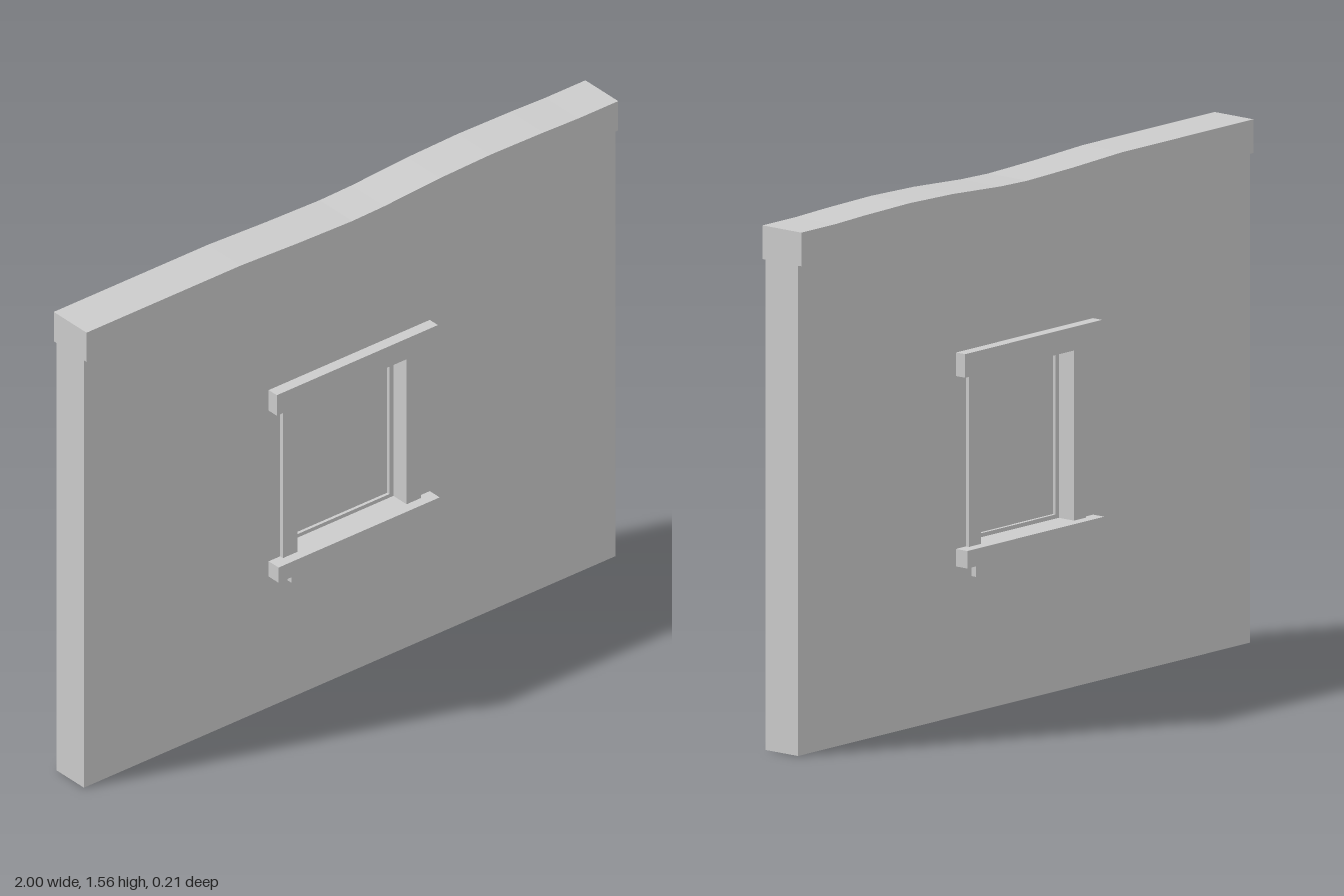
import * as THREE from 'three';

const material = new THREE.MeshStandardMaterial({ color: 0xcccccc, flatShading: true });

// Gently sagging line of the wall's top edge
const TOP = [[-1, 1.555], [-0.42, 1.555], [-0.2, 1.546], [0, 1.541], [0.12, 1.544],
  [0.33, 1.557], [0.52, 1.562], [0.72, 1.559], [0.85, 1.555], [1, 1.555]];
const edge = (drop) => TOP.map(([x, y]) => new THREE.Vector2(x, y - drop));

// Window opening
const L = -0.208, R = 0.203, B = 0.497, T = 1.01;

function add(parent, name, geometry) {
  const mesh = new THREE.Mesh(geometry, material);
  mesh.name = name;
  parent.add(mesh);
  return mesh;
}

// Box given by its limits on each axis
function block(parent, name, x0, x1, y0, y1, z0, z1) {
  const mesh = add(parent, name, new THREE.BoxGeometry(x1 - x0, y1 - y0, z1 - z0));
  mesh.position.set((x0 + x1) / 2, (y0 + y1) / 2, (z0 + z1) / 2);
  return mesh;
}

function slab(parent, name, shape, z0, z1) {
  const geometry = new THREE.ExtrudeGeometry(shape, { depth: z1 - z0, bevelEnabled: false });
  geometry.translate(0, 0, z0);
  return add(parent, name, geometry);
}

function rectHole(x0, x1, y0, y1) {
  return new THREE.Path([[x0, y0], [x0, y1], [x1, y1], [x1, y0]].map((p) => new THREE.Vector2(...p)));
}

export function createModel() {
  const group = new THREE.Group();
  group.name = 'windowWall';

  // Wall with the window opening cut through it
  const wall = new THREE.Shape([
    new THREE.Vector2(-1, 0), new THREE.Vector2(1, 0), ...edge(0.006).reverse()]);
  wall.holes.push(rectHole(L, R, B, T));
  slab(group, 'wall', wall, -0.063, 0.061);

  // Coping that follows the top edge and overhangs both faces
  slab(group, 'coping', new THREE.Shape([...edge(0.1), ...edge(0).reverse()]), -0.076, 0.073);

  // Thin sash and pane set in the middle of the opening
  const sash = new THREE.Shape([
    new THREE.Vector2(L, B), new THREE.Vector2(R, B), new THREE.Vector2(R, T), new THREE.Vector2(L, T)]);
  sash.holes.push(rectHole(L + 0.015, R - 0.015, B + 0.012, T - 0.012));
  slab(group, 'sash', sash, -0.016, 0.014);
  block(group, 'pane', L, R, B, T, -0.006, 0.004);

  // Matching trim on the front and the back
  for (const [side, s] of [['front', 1], ['back', -1]]) {
    const trim = new THREE.Group();
    trim.name = side + 'Trim';
    group.add(trim);
    const piece = (name, x0, x1, y0, y1, out) => {
      const z = [s * 0.055, s * out].sort((a, b) => a - b);
      block(trim, name, x0, x1, y0, y1, z[0], z[1]);
    };
    piece('header', -0.305, 0.301, T, 1.08, 0.098);
    piece('rightJamb', -0.262, L, B, T, 0.074);
    piece('leftJamb', R, 0.257, B, T, 0.074);
    piece('sill', -0.305, 0.301, 0.445, B, 0.106);
    piece('apron', -0.235, 0.233, 0.405, 0.445, 0.08);
  }
  return group;
}
